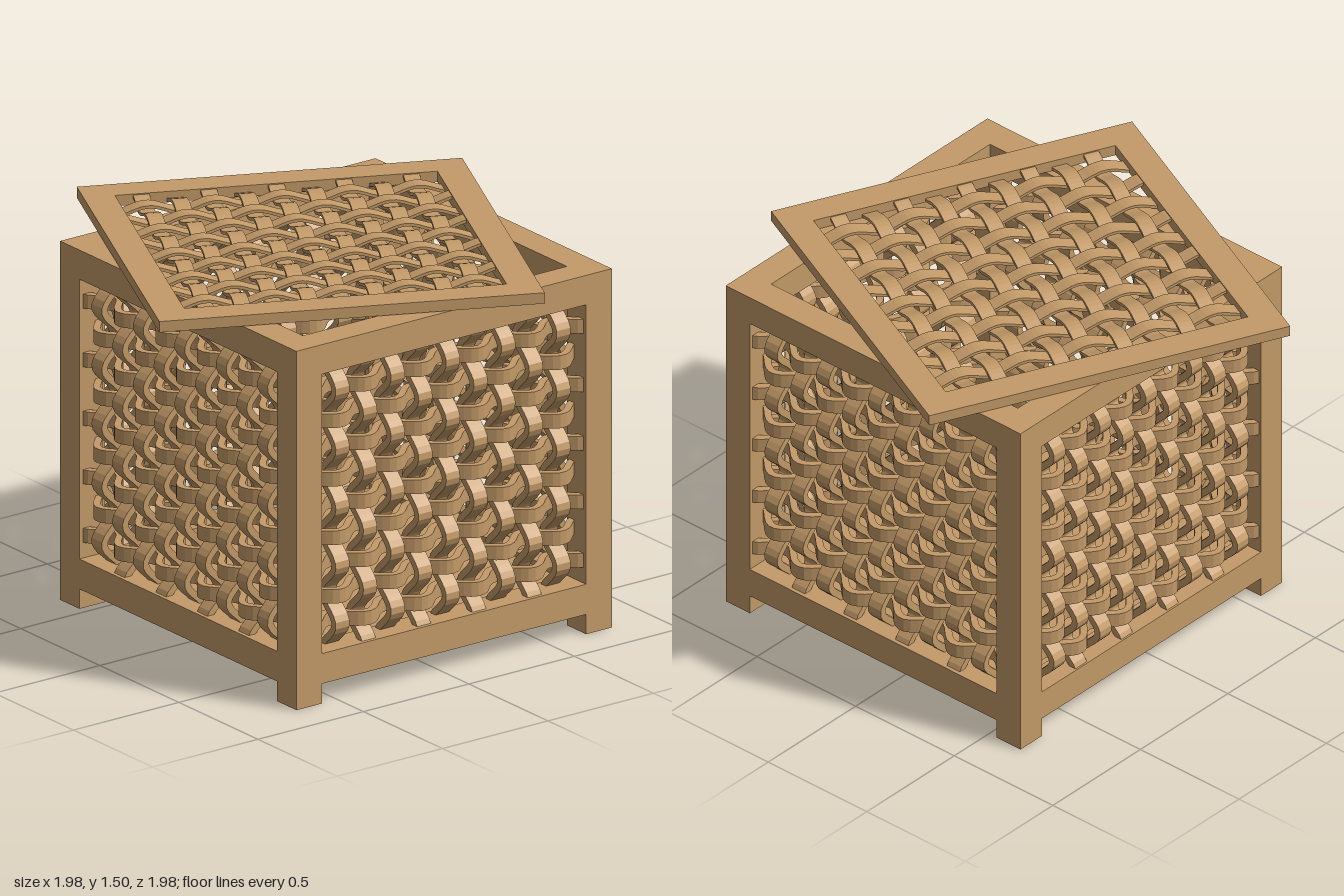
import * as THREE from 'three';

const wood = new THREE.MeshStandardMaterial({ color: 0xc49b69 });
wood.name = 'wood';

const BORDER = 0.122;      // frame and leg width
const SIZE = 1.495;        // outer width of box and lid
const OPEN = SIZE - 2 * BORDER;
const COUNT = 9;           // strips in each direction

function mesh(geometry, name) {
  const m = new THREE.Mesh(geometry, wood);
  m.name = name;
  return m;
}

function box(w, h, d, x, y, z, name) {
  const m = mesh(new THREE.BoxGeometry(w, h, d), name);
  m.position.set(x, y, z);
  return m;
}

// Wavy ribbon along x, bulging in z, with its flat width in y
function ribbon(length, pitch, amp, thick, width) {
  const n = 62, upper = [], lower = [];
  for (let i = 0; i <= n; i++) {
    const u = (i / n - 0.5) * length;
    const h = amp * Math.cos(Math.PI * u / pitch);
    const slope = -amp * Math.PI / pitch * Math.sin(Math.PI * u / pitch);
    const l = Math.hypot(1, slope), t = thick / 2;
    // offset along the curve normal, kept straight at the ends
    const s = i === 0 || i === n ? 0 : slope;
    upper.push(new THREE.Vector2(u - s / l * t, h + t / l));
    lower.unshift(new THREE.Vector2(u + s / l * t, h - t / l));
  }
  const g = new THREE.ExtrudeGeometry(new THREE.Shape([...upper, ...lower]),
    { depth: width, bevelEnabled: false });
  g.translate(0, 0, -width / 2);
  g.rotateX(Math.PI / 2);
  return g;
}

// Plain over-and-under weave centred on the origin, facing +z
function weave(w, h, amp, thick) {
  const group = new THREE.Group();
  group.name = 'weave';
  const px = w * 0.1047, py = h * 0.1047;
  const across = ribbon(w + 0.02, px, amp, thick, py * 0.48);
  const upright = ribbon(h + 0.02, py, amp, thick, px * 0.5);
  upright.rotateZ(Math.PI / 2);
  for (let i = 0; i < COUNT; i++) {
    const k = i - (COUNT - 1) / 2;
    const a = mesh(across, 'acrossStrip');
    a.position.y = k * py;
    const b = mesh(upright, 'uprightStrip');
    b.position.x = k * px;
    // neighbouring strips are turned over so that they interlace
    if (k % 2 === 0) a.rotation.x = Math.PI;
    else b.rotation.y = Math.PI;
    group.add(a, b);
  }
  return group;
}

function rectHole(x0, y0, x1, y1) {
  return new THREE.Path([[x0, y0], [x0, y1], [x1, y1], [x1, y0]]
    .map(p => new THREE.Vector2(...p)));
}

function outline(points) {
  return new THREE.Shape(points.map(p => new THREE.Vector2(...p)));
}

export function createModel() {
  const model = new THREE.Group();
  model.name = 'wovenBox';

  const TOP = 1.453, FOOT = 0.08, Y0 = 0.202, Y1 = 1.334;
  const H = SIZE / 2, O = OPEN / 2, MID = H - BORDER / 2;
  const body = new THREE.Group();
  body.name = 'body';
  body.position.set(0.0875, 0, -0.054);
  model.add(body);

  // Front and back frames, each cut from one board with its two legs
  const board = outline([[-H, 0], [-O, 0], [-O, FOOT], [O, FOOT], [O, 0], [H, 0], [H, TOP], [-H, TOP]]);
  board.holes.push(rectHole(-O, Y0, O, Y1));
  const boardGeo = new THREE.ExtrudeGeometry(board, { depth: BORDER, bevelEnabled: false });
  boardGeo.translate(0, 0, -BORDER / 2);

  // Four walls
  ['front', 'left', 'back', 'right'].forEach((side, i) => {
    const wall = new THREE.Group();
    wall.name = side + 'Wall';
    wall.rotation.y = i * Math.PI / 2;
    const woven = weave(OPEN, Y1 - Y0, 0.042, 0.028);
    woven.position.set(0, (Y0 + Y1) / 2, MID + (side === 'right' ? 0.008 : 0));
    wall.add(woven);
    if (i % 2 === 0) {
      const frame = mesh(boardGeo, side + 'Frame');
      frame.position.z = MID;
      wall.add(frame);
    } else {
      wall.add(
        box(OPEN, Y0 - FOOT, BORDER, 0, (Y0 + FOOT) / 2, MID, 'bottomRail'),
        box(OPEN, TOP - Y1, BORDER, 0, (TOP + Y1) / 2, MID, 'topRail'));
    }
    body.add(wall);
  });

  // Recessed floor
  body.add(box(OPEN, 0.05, OPEN, 0, 0.155, 0, 'floor'));

  // Lid, laid on top at an angle
  const lid = new THREE.Group();
  lid.name = 'lid';
  const LT = 0.044;
  const rim = outline([[-H, -H], [H, -H], [H, H], [-H, H]]);
  rim.holes.push(rectHole(-O, -O, O, O));
  const rimGeo = new THREE.ExtrudeGeometry(rim, { depth: LT, bevelEnabled: false });
  rimGeo.translate(0, 0, -LT / 2);
  lid.add(mesh(rimGeo, 'lidFrame'), weave(OPEN, OPEN, 0.0155, 0.012));
  lid.position.y = 1.478;
  lid.rotation.set(-Math.PI / 2, -0.432, 0, 'YXZ');
  model.add(lid);

  return model;
}
